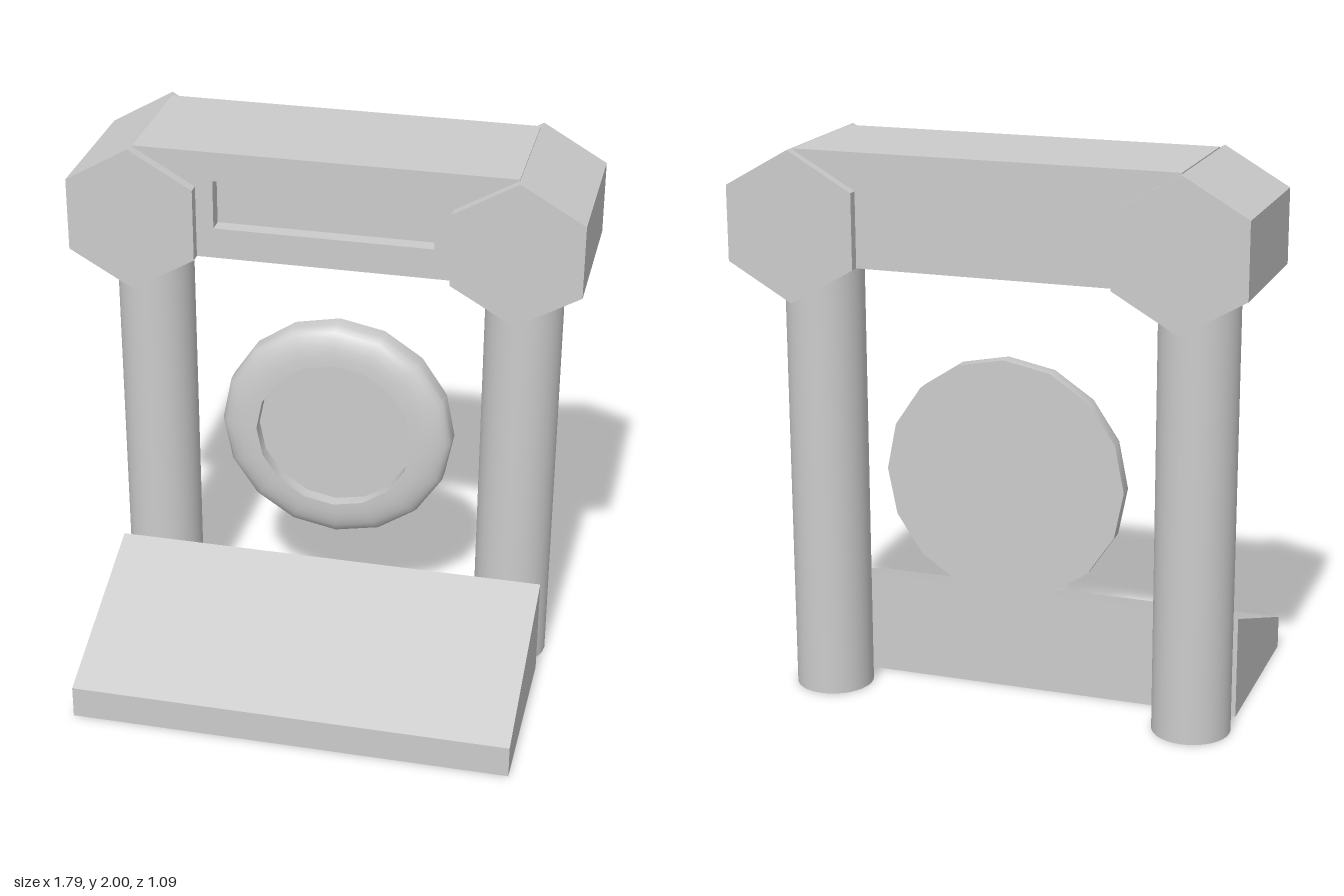
import * as THREE from 'three';
import { toCreasedNormals } from 'three/addons/utils/BufferGeometryUtils.js';

const smooth = new THREE.MeshStandardMaterial({ color: 0xcccccc });
const flat = new THREE.MeshStandardMaterial({ color: 0xcccccc, flatShading: true });

export function createModel() {
  const model = new THREE.Group();
  model.name = 'archGate';

  const add = (parent, name, geometry, material, x = 0, y = 0, z = 0) => {
    const mesh = new THREE.Mesh(geometry, material);
    mesh.name = name;
    mesh.position.set(x, y, z);
    parent.add(mesh);
    return mesh;
  };

  // Ramp: side profile (z, y) swept across the width
  const rampWidth = 1.59;
  const profile = new THREE.Shape([
    new THREE.Vector2(-0.125, 0),
    new THREE.Vector2(0.545, 0),
    new THREE.Vector2(0.545, 0.12),
    new THREE.Vector2(-0.125, 0.37),
  ]);
  const ramp = new THREE.ExtrudeGeometry(profile, { depth: rampWidth, bevelEnabled: false });
  ramp.rotateY(-Math.PI / 2);
  add(model, 'ramp', ramp, flat, rampWidth / 2);

  // Pillars with hexagonal caps
  const pillarGeo = new THREE.CylinderGeometry(0.138, 0.138, 1.7, 32);
  const capGeo = new THREE.CylinderGeometry(0.26, 0.26, 0.56, 6).rotateX(Math.PI / 2);
  for (const [side, s] of [['left', 1], ['right', -1]]) {
    add(model, side + 'Pillar', pillarGeo, smooth, s * 0.67, 0.85, -0.265);
    add(model, side + 'HexCap', capGeo, flat, s * 0.672, 1.74, -0.265);
  }

  // Crossbeam: solid back plus a front plate with a recessed panel opening
  const beam = new THREE.Group();
  beam.name = 'crossbeam';
  model.add(beam);
  const rect = (path, x, y0, y1) =>
    path.moveTo(-x, y0).lineTo(x, y0).lineTo(x, y1).lineTo(-x, y1).closePath();
  const plate = rect(new THREE.Shape(), 0.665, 1.61, 2);
  plate.holes.push(rect(new THREE.Path(), 0.385, 1.72, 1.895));
  const recess = 0.055, front = -0.025, back = -0.51;
  add(beam, 'beamFront',
    new THREE.ExtrudeGeometry(plate, { depth: recess, bevelEnabled: false }), flat, 0, 0, front - recess);
  const depth = front - recess - back;
  add(beam, 'beamBody', new THREE.BoxGeometry(1.33, 0.39, depth), flat, 0, 1.805, back + depth / 2);

  // Hanging disc: flat back, straight rim, rounded front ring, sunken face
  const points = [[0, -0.31], [0.43, -0.31], [0.43, -0.26]];
  for (let i = 1; i <= 6; i++) {
    const a = (i / 6) * Math.PI / 2;
    points.push([0.29 + 0.14 * Math.cos(a), -0.26 + 0.06 * Math.sin(a)]);
  }
  points.push([0.29, -0.25], [0, -0.25]);
  const disc = new THREE.LatheGeometry(points.map(([r, z]) => new THREE.Vector2(r, z)), 16);
  disc.rotateX(Math.PI / 2);
  add(model, 'ringedDisc', toCreasedNormals(disc, 0.6), smooth, 0, 0.85, 0);

  return model;
}
